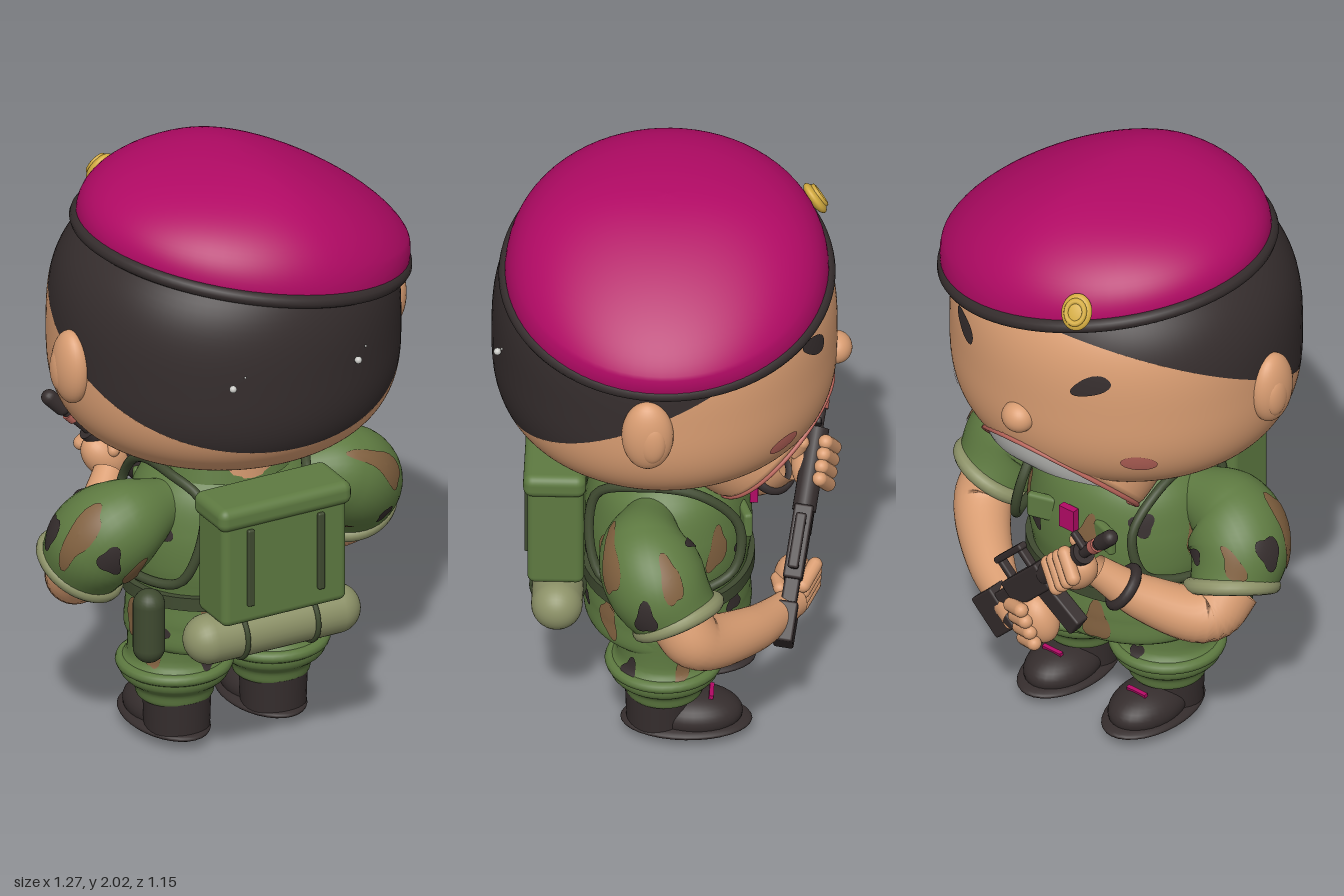
import * as THREE from 'three';
import { ParametricGeometry } from 'three/addons/geometries/ParametricGeometry.js';
import { RoundedBoxGeometry } from 'three/addons/geometries/RoundedBoxGeometry.js';

const V = (x, y, z) => new THREE.Vector3(x, y, z);
const mat = (name, color, side = THREE.FrontSide) => Object.assign(new THREE.MeshStandardMaterial({ color, side }), { name });

export function createModel() {
  const M = {
    skin: mat('skin', 0xd99d72, THREE.DoubleSide), black: mat('black', 0x352d2d), beret: mat('magenta', 0xb20a65),
    green: mat('green', 0x5e7a41), khaki: mat('khaki', 0x8d9268), strap: mat('dark green', 0x3f4a30),
    brown: mat('brown', 0x80603f), pink: mat('pink', 0xb8645a), grey: mat('light grey', 0xc8c8c4, THREE.DoubleSide),
    gold: mat('gold', 0xd4ac40),
  };
  const root = new THREE.Group();
  root.name = 'soldier';
  root.position.x = -0.01;

  // helpers
  const add = (name, geo, m, pos = [0, 0, 0], scale = [1, 1, 1], rot = [0, 0, 0], parent = root) => {
    const mesh = new THREE.Mesh(geo, m);
    mesh.name = name;
    mesh.position.set(...pos); mesh.scale.set(...scale); mesh.rotation.set(...rot);
    parent.add(mesh);
    return mesh;
  };
  const ball = new THREE.SphereGeometry(1, 32, 20);
  const param = (f, nu, nv) => new ParametricGeometry((u, v, t) => t.copy(f(u, v)), nu, nv);
  const tube = (pts, r, closed = false, n = 48) =>
    new THREE.TubeGeometry(new THREE.CatmullRomCurve3(pts.map(p => V(...p)), closed), n, r, 10, closed);
  // surfaces S(u, v, offset): u runs around, v runs along
  const turned = (profile, sz = 1, cx = 0, cz = 0) => {
    const c = new THREE.SplineCurve(profile.map(p => new THREE.Vector2(...p)));
    return (u, v, o = 0) => {
      const p = c.getPoint(Math.min(1, Math.max(0, v))), a = u * Math.PI * 2;
      return V(cx + Math.sin(a) * (p.x + o), p.y, cz + Math.cos(a) * (p.x * sz + o));
    };
  };
  const limb = (pts, radii) => {
    const c = new THREE.CatmullRomCurve3(pts.map(p => V(...p)));
    const rc = new THREE.SplineCurve(radii.map((r, i) => new THREE.Vector2(i, r)));
    return (u, v, o = 0) => {
      const k = Math.min(1, Math.max(0, v)), t = c.getTangent(k), n = V(0, 0, 1).cross(t).normalize();
      const b = t.clone().cross(n), a = u * Math.PI * 2, r = rc.getPoint(k).y + o;
      return c.getPoint(k).addScaledVector(n, r * Math.cos(a)).addScaledVector(b, r * Math.sin(a));
    };
  };
  const patch = (name, S, u0, v0, w, h, m, su, sv, tilt = 0, wob = 0) => add(name, param((u, v) => {
    const a = -u * Math.PI * 2, k = v * (1 + wob * Math.sin(3 * a + u0 * 40));
    const x = w * k * Math.cos(a), y = h * k * Math.sin(a), c = Math.cos(tilt), s = Math.sin(tilt);
    return S(u0 + (x * c - y * s) / su, v0 + (x * s + y * c) / sv, 0.004);
  }, 24, 5), m);
  let seed = 7;
  const rnd = () => (seed = (seed * 16807) % 2147483647) / 2147483647;
  // black blots are small, brown ones long
  const camo = (S, n, su, sv, v0, v1, size) => {
    for (let i = 0; i < n; i++) {
      const dark = i % 2 === 0, w = size * (0.6 + 0.4 * rnd());
      patch('camouflagePatch', S, (i + 0.6 * rnd()) / n, v0 + (v1 - v0) * rnd(), w, w * (dark ? 0.8 : 1.8),
        dark ? M.black : M.brown, su, sv, (rnd() - 0.5) * 1.2, 0.2);
    }
  };

  // head, split into skin and hair along a slanted plane
  const head = (u, v, o = 0) => {
    const s = Math.sin((v - 0.5) * Math.PI), r = Math.cbrt(Math.max(0, 1 - Math.abs(s) ** 3)), a = u * Math.PI * 2;
    return V(Math.sin(a) * r * (0.57 + o), 1.42 + s * (s < 0 ? 0.39 : 0.45), 0.025 + Math.cos(a) * r * (0.55 + o));
  };
  const hairline = u => {
    let lo = 0, hi = 1;
    for (let i = 0; i < 30; i++) {
      const m = (lo + hi) / 2, p = head(u, m);
      if (p.y - 1.21 > 0.515 * (0.5 - p.z)) hi = m; else lo = m;
    }
    return lo;
  };
  add('hair', param((u, v) => head(u, THREE.MathUtils.lerp(hairline(u), 1, v)), 96, 32), M.black);
  const face = param((u, v) => head(u, v * hairline(u)), 144, 96);

  // wide open mouth: rim lies in a slanted plane, d goes into the head
  const TAU = Math.PI * 2, Q = Math.SQRT1_2, MY = 1.055, MZ = -0.322;
  const rim = (a, k = 1, d = 0) => {
    const c = k * Math.cos(a);
    return V(0.275 * k * Math.sin(a) * (1 - 0.16 * c), MY + Q * (0.265 * c + d), MZ + Q * (d - 0.265 * c));
  };
  const P = face.attributes.position, old = face.index.array, keep = [];
  for (let i = 0; i < old.length; i += 3) {
    let x = 0, y = -MY, z = -MZ;
    for (let j = 0; j < 3; j++) { const k = old[i + j]; x += P.getX(k) / 3; y += P.getY(k) / 3; z += P.getZ(k) / 3; }
    const c = (y - z) * Q / 0.265, k2 = c * c + (x / (0.275 * (1 - 0.16 * c))) ** 2, d = (y + z) * Q;
    if (k2 > 1.04 || d > 0.27 * Math.sqrt(Math.max(0, 1 - k2)) + 0.02) keep.push(old[i], old[i + 1], old[i + 2]);
  }
  face.setIndex(keep);
  add('face', face, M.skin);
  add('jaw', param((u, v) => rim(u * TAU, 1 + 0.1 * Math.sqrt(v), 0.18 * v), 64, 8), M.skin);
  add('mouthInside', param((u, v) => rim(u * TAU, Math.sqrt(1 - v * v), 0.27 * v), 64, 16), M.skin);
  add('lips', tube([...Array(40)].map((_, i) => rim(i / 40 * TAU).toArray()), 0.008, true, 96), M.pink);
  add('upperTeeth', param((u, v) => {
    const a = (u - 0.5) * 2.8, w = v * Math.cos(a * 1.12);
    return rim(a, 0.985 - 0.5 * w, 0.004 - 0.05 * Math.sin(w * 1.6));
  }, 32, 8), M.grey);
  add('tongue', ball, M.pink, [0, 1.02, -0.17], [0.13, 0.04, 0.1], [0.7, 0, 0]);

  // facial features
  add('nose', ball, M.skin, [-0.01, 1.355, -0.522], [0.056, 0.052, 0.05]);
  for (const s of [1, -1]) {
    patch('eye', head, 0.5 - s * 0.076, 0.595, 0.068, 0.032, M.black, 3.4, 1.35, -s * 0.45, 0.08);
    patch('cheek', head, 0.5 - s * 0.12, 0.36, 0.058, 0.03, M.pink, 3.3, 1.1, s * 0.15);
    add('ear', ball, M.skin, [s * 0.573, 1.41, 0.06], [0.056, 0.125, 0.083]);
    add('earInner', ball, M.skin, [s * 0.605, 1.4, 0.045], [0.028, 0.075, 0.045]);
  }
  for (const [x, y, z, r] of [[-0.25, 1.46, 0.542, 0.012], [0.2, 1.46, 0.55, 0.012], [-0.21, 1.495, 0.55, 0.004], [0.235, 1.495, 0.535, 0.004]])
    add('highlight', ball, M.grey, [x, y, z], [r, r, r]);

  // beret: slopes toward +x, fuller on the high side
  add('beret', param((u, v) => {
    const a = u * TAU, e = v * Math.PI / 2, s = Math.sin(e), k = 1.01 * Math.cos(e) ** 0.85;
    const x = k * Math.cos(a), low = Math.max(0, x) ** 2 * (1.5 - 0.5 * x);
    return V(0.075 + 0.53 * x + 0.02 * low * Math.min(1, 4 * s), 1.7 - 0.105 * x * (1 - 0.6 * s * (0.5 - 0.5 * Math.tanh(4 * x))) + 0.298 * s ** 0.95 * (1 - 0.25 * low),
      0.015 - 0.51 * k * Math.sin(a));
  }, 72, 28), M.beret);
  const band = [...Array(32)].map((_, i) => {
    const a = i / 32 * TAU;
    return [0.068 + 0.525 * Math.cos(a), 1.69 - 0.105 * Math.cos(a), 0.015 - 0.512 * Math.sin(a)];
  });
  add('beretBand', tube(band, 0.024, true, 96), M.black);
  const badge = new THREE.Group();
  badge.name = 'badge';
  badge.position.set(-0.19, 1.805, -0.447);
  badge.lookAt(-0.55, 2.4, -1.4);
  badge.scale.setScalar(1.2);
  root.add(badge);
  add('badgeDisc', ball, M.gold, [0, 0, 0], [0.042, 0.05, 0.018], [0, 0, 0], badge);
  add('badgeRing', new THREE.TorusGeometry(0.025, 0.007, 8, 24), M.gold, [0, 0, 0.014], [1, 1.2, 1], [0, 0, 0], badge);

  // torso
  const torso = turned([[0.02, 0.36], [0.2, 0.357], [0.315, 0.362], [0.322, 0.45], [0.312, 0.55], [0.328, 0.66], [0.32, 0.78], [0.28, 0.9], [0.18, 0.985], [0.1, 0.99]], 0.82, 0, 0.015);
  add('jacket', param(torso, 56, 60), M.green);
  camo(torso, 10, 1.95, 1.0, 0.3, 0.42, 0.045);
  camo(torso, 10, 1.95, 1.0, 0.52, 0.74, 0.045);
  add('neck', new THREE.CylinderGeometry(0.175, 0.175, 0.14, 32), M.skin, [0, 1.0, 0.05]);
  add('collar', new THREE.CylinderGeometry(0.195, 0.215, 0.08, 32), M.green, [0, 0.98, 0.055], [1, 1, 0.8]);
  add('belt', new THREE.CylinderGeometry(0.338, 0.338, 0.045, 48), M.strap, [0, 0.55, 0.015], [1, 1, 0.82]);
  add('chestTag', new THREE.BoxGeometry(0.06, 0.08, 0.025), M.beret, [0, 0.81, -0.26]);

  for (const s of [1, -1]) {
    // legs and boots
    const leg = turned([[0.1, 0.14], [0.122, 0.15], [0.135, 0.19], [0.172, 0.225], [0.176, 0.27], [0.152, 0.31], [0.152, 0.42]], 1, s * 0.175, 0.02);
    add('trouserLeg', param(leg, 36, 28), M.green);
    camo(leg, 4, 0.95, 0.3, 0.78, 0.92, 0.032);
    add('trouserBand', new THREE.TorusGeometry(0.17, 0.02, 10, 40), M.green, [s * 0.175, 0.265, 0.02], [1, 1, 1], [Math.PI / 2, 0, 0]);
    add('bootShaft', new THREE.CylinderGeometry(0.11, 0.106, 0.12, 32), M.black, [s * 0.175, 0.095, 0.035]);
    add('bootToe', ball, M.black, [s * 0.175, 0.065, -0.075], [0.108, 0.075, 0.155]);
    add('bootSole', ball, M.black, [s * 0.175, 0.035, -0.05], [0.126, 0.028, 0.21]);
    add('bootLace', new THREE.BoxGeometry(0.075, 0.014, 0.014), M.beret, [s * 0.175, 0.136, -0.13], [1, 1, 1], [-0.2, 0, 0]);

    // sleeves and harness
    const sleeve = limb([[s * 0.2, 0.86, 0.06], [s * 0.38, 0.82, 0.075], [s * 0.46, 0.755, 0.035], [s * 0.49, 0.65, -0.03]], [0.07, 0.146, 0.162, 0.138]);
    add('sleeve', param(sleeve, 36, 28), M.green);
    camo(sleeve, 8, 0.95, 0.42, 0.45, 0.85, 0.045);
    const cuff = add('sleeveCuff', new THREE.TorusGeometry(0.131, 0.026, 12, 40), M.khaki, [s * 0.488, 0.645, -0.035]);
    cuff.quaternion.setFromUnitVectors(V(0, 0, 1), V(s * 0.4, -1, -0.48).normalize());
    add('shoulderStrap', tube([[s * 0.19, 0.9, 0.24], [s * 0.24, 0.97, 0.1], [s * 0.24, 0.94, -0.1], [s * 0.23, 0.82, -0.22],
      [s * 0.27, 0.67, -0.2], [s * 0.345, 0.62, 0], [s * 0.26, 0.64, 0.22]], 0.016, true), M.strap);
    add('chestPocket', new RoundedBoxGeometry(0.1, 0.09, 0.03, 2, 0.012), M.green, [s * 0.13, 0.78, -0.235], [1, 1, 1], [0, s * 0.3, 0]);
  }

  // forearms reaching for the rifle
  const forearm = pts => param(limb(pts, [0.1, 0.095, 0.075, 0.05]), 28, 24);
  add('forearmRight', forearm([[0.485, 0.65, -0.03], [0.495, 0.56, -0.09], [0.32, 0.48, -0.26], [0.1, 0.44, -0.39]]), M.skin);
  add('forearmLeft', forearm([[-0.485, 0.65, -0.03], [-0.46, 0.57, -0.12], [-0.32, 0.64, -0.26], [-0.2, 0.76, -0.37]]), M.skin);
  const watch = add('wristBand', new THREE.TorusGeometry(0.067, 0.018, 10, 32), M.black, [-0.27, 0.69, -0.31]);
  watch.lookAt(-0.2 + root.position.x, 0.76, -0.37);

  // backpack with bedroll and canteen
  add('backpack', new RoundedBoxGeometry(0.45, 0.4, 0.18, 4, 0.025), M.green, [-0.01, 0.765, 0.365]);
  add('backpackFlap', new RoundedBoxGeometry(0.48, 0.08, 0.2, 4, 0.03), M.green, [-0.01, 0.945, 0.368]);
  add('bedroll', new THREE.CapsuleGeometry(0.082, 0.46, 10, 28), M.khaki, [-0.01, 0.495, 0.36], [1, 1, 1], [0, 0, Math.PI / 2]);
  for (const x of [-0.14, 0.115]) {
    add('packStrap', new RoundedBoxGeometry(0.024, 0.27, 0.02, 2, 0.006), M.strap, [x, 0.765, 0.457]);
    add('bedrollStrap', new THREE.TorusGeometry(0.083, 0.009, 8, 32), M.strap, [x, 0.495, 0.36], [1, 1, 1], [0, Math.PI / 2, 0]);
  }
  add('canteen', new THREE.CapsuleGeometry(0.052, 0.15, 8, 20), M.strap, [-0.345, 0.48, 0.16]);

  // rifle: local x along the barrel, y up, z toward the viewer's side
  const rifle = new THREE.Group(), X = V(-0.61, 0.62, -0.12).normalize(), Z = X.clone().cross(V(0.7, 0.7, 0)).normalize();
  rifle.name = 'rifle';
  rifle.applyMatrix4(new THREE.Matrix4().makeBasis(X, Z.clone().cross(X), Z));
  rifle.position.set(0.25, 0.4, -0.36);
  root.add(rifle);
  const block = (name, x, y, w, h, d, r = 0) => add(name, new RoundedBoxGeometry(w, h, d, 2, 0.008), M.black, [x, y, 0], [1, 1, 1], [0, 0, r], rifle);
  block('stock', 0.05, -0.025, 0.13, 0.15, 0.065);
  block('stockTube', 0.15, 0, 0.12, 0.055, 0.05);
  block('receiver', 0.31, 0, 0.24, 0.095, 0.062);
  block('grip', 0.21, -0.08, 0.05, 0.13, 0.045, -0.3);
  block('magazine', 0.39, -0.11, 0.08, 0.18, 0.05, 0.2);
  block('handleRear', 0.23, 0.075, 0.024, 0.08, 0.03);
  block('handleFront', 0.37, 0.075, 0.024, 0.08, 0.03);
  block('handleBar', 0.3, 0.115, 0.18, 0.022, 0.035);
  block('frontSight', 0.7, 0.035, 0.024, 0.08, 0.024);
  const rod = (name, x, r, len, m = M.black) => add(name, new THREE.CylinderGeometry(r, r, len, 20), m, [x, 0, 0], [1, 1, 1], [0, 0, Math.PI / 2], rifle);
  rod('handguard', 0.55, 0.038, 0.27);
  rod('barrel', 0.74, 0.018, 0.2);
  rod('barrelRing', 0.765, 0.024, 0.03, M.pink);
  add('muzzle', new THREE.CapsuleGeometry(0.026, 0.06, 6, 16), M.black, [0.84, 0, 0], [1, 1, 1], [0, 0, Math.PI / 2], rifle);

  // hands gripping the rifle
  const hand = (name, x, y, turn) => {
    const g = new THREE.Group();
    g.name = name;
    g.position.set(x, y, 0);
    g.rotation.z = turn;
    rifle.add(g);
    add('palm', ball, M.skin, [0, -0.035, -0.005], [0.09, 0.065, 0.062], [0, 0, 0], g);
    for (let i = 0; i < 4; i++)
      add('finger', new THREE.CapsuleGeometry(0.024, 0.085, 6, 14), M.skin, [-0.06 + i * 0.04, -0.01, 0.047], [1, 1, 1], [-0.3, 0, 0], g);
    add('thumb', new THREE.CapsuleGeometry(0.022, 0.06, 6, 14), M.skin, [0.03, 0.02, -0.045], [1, 1, 1], [0.3, 0, -0.5], g);
  };
  hand('forwardHand', 0.58, 0, 0);
  hand('gripHand', 0.19, -0.095, 1.2);

  return root;
}
